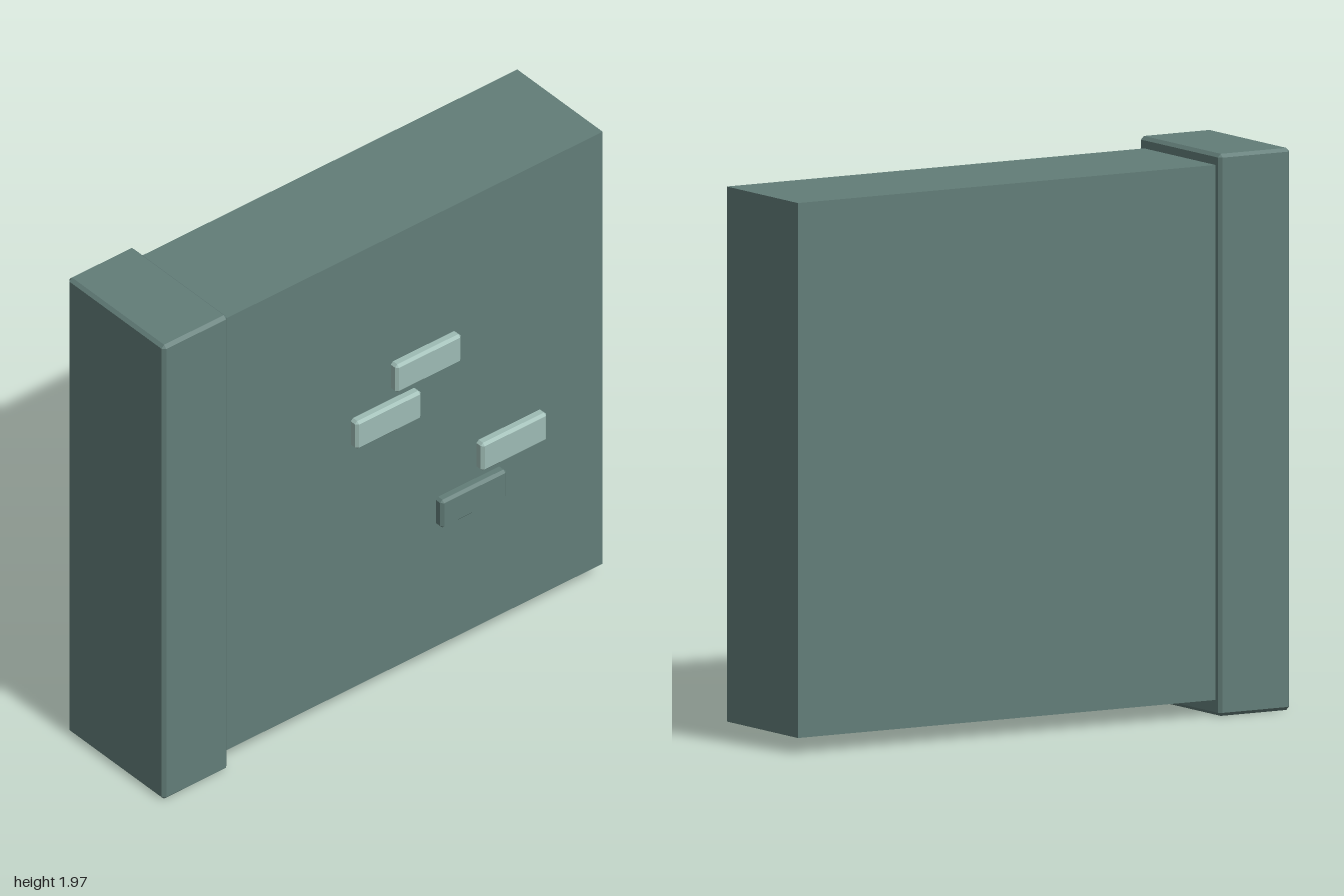
import * as THREE from 'three';
import { ConvexGeometry } from 'three/addons/geometries/ConvexGeometry.js';

const stone = new THREE.MeshStandardMaterial({ color: 0x627d78 });
stone.name = 'stone';
const paleStone = new THREE.MeshStandardMaterial({ color: 0x9dbbb4 });
paleStone.name = 'paleStone';

// Box between two corners with every edge chamfered by c
function chamferedBox(min, max, c) {
  const mid = min.map((v, i) => (v + max[i]) / 2);
  const half = min.map((v, i) => (max[i] - v) / 2);
  const points = [];
  for (const sx of [-1, 1]) for (const sy of [-1, 1]) for (const sz of [-1, 1]) {
    for (let full = 0; full < 3; full++) {
      const p = [sx, sy, sz].map((s, i) => mid[i] + s * (half[i] - (i === full ? 0 : c)));
      points.push(new THREE.Vector3(...p));
    }
  }
  return new ConvexGeometry(points);
}

export function createModel() {
  const group = new THREE.Group();
  group.name = 'wallSection';
  const add = (name, geometry, material) => {
    const mesh = new THREE.Mesh(geometry, material);
    mesh.name = name;
    group.add(mesh);
  };

  // Plain wall slab, tucked into the pillar
  const wall = new THREE.BoxGeometry(0.465, 1.875, 1.8);
  wall.translate(-0.0025, 0.9925, -0.1);
  add('wall', wall, stone);

  // End pillar
  add('pillar', chamferedBox([-0.263, 0, 0.708], [0.263, 1.97, 1], 0.012), stone);

  // Raised bricks on the left face: centre y, centre z, material
  const bricks = [
    [1.325, -0.195, paleStone],
    [1.165, -0.015, paleStone],
    [0.80, -0.58, paleStone],
    [0.64, -0.398, stone],
  ];
  bricks.forEach(([y, z, material], i) => {
    const geometry = chamferedBox([0.18, y - 0.06, z - 0.147], [0.263, y + 0.06, z + 0.147], 0.01);
    add(`brick${i + 1}`, geometry, material);
  });

  return group;
}
